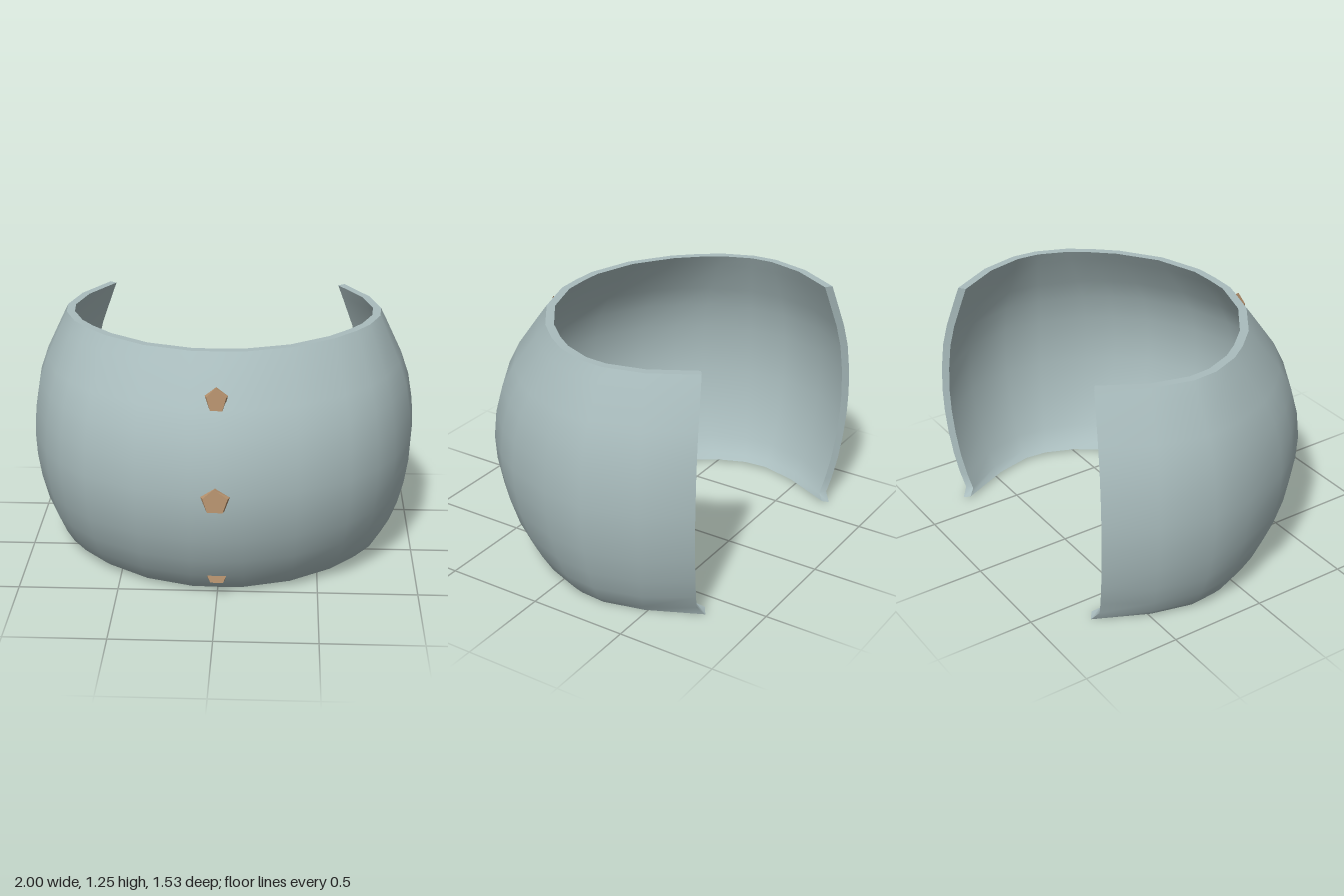
import * as THREE from 'three';
import { toCreasedNormals } from 'three/addons/utils/BufferGeometryUtils.js';

// Plan of one half, front centre to back end: widest x, z, then rim x, z
const PLAN = [
  [0, 0.72, 0, 0.44], [0.13, 0.71, 0.13, 0.435], [0.39, 0.64, 0.36, 0.36],
  [0.65, 0.49, 0.56, 0.22], [0.79, 0.34, 0.67, 0.1], [0.88, 0.2, 0.74, 0],
  [0.975, -0.06, 0.8, -0.15], [1, -0.28, 0.81, -0.28], [0.93, -0.55, 0.76, -0.48],
  [0.775, -0.763, 0.635, -0.7],
];
// Height and fullness of each row (0 = rim plan, 1 = widest plan)
const ROWS = [
  [0.008, 0.06], [0.05, 0.26], [0.13, 0.48], [0.24, 0.7], [0.37, 0.87], [0.5, 0.97],
  [0.62, 1], [0.76, 0.95], [0.9, 0.82], [1.02, 0.6], [1.19, 0.17], [1.255, 0],
];
const THICKNESS = 0.042;

// Open barrel-shaped cuff: outer wall, inner wall, rims and end caps
function cuffGeometry() {
  const mirrored = PLAN.slice(1).reverse().map(([a, b, c, d]) => [-a, b, -c, d]);
  const plan = [...mirrored, ...PLAN];
  const n = plan.length, r = ROWS.length, loop = 2 * r;
  const positions = [], index = [];

  for (let j = 0; j < loop; j++) {
    const inner = j >= r;
    const row = inner ? loop - 1 - j : j;
    const [y, f] = ROWS[row];
    for (let i = 0; i < n; i++) {
      const p = plan[i], a = plan[Math.max(i - 1, 0)], b = plan[Math.min(i + 1, n - 1)];
      const tx = b[0] - a[0], tz = b[1] - a[1], len = Math.hypot(tx, tz);
      const off = inner ? THICKNESS : 0;
      let x = THREE.MathUtils.lerp(p[2], p[0], f) + (tz / len) * off;
      let z = THREE.MathUtils.lerp(p[3], p[1], f) - (tx / len) * off;
      // small foot at the lower back corners
      if (row === 0 && (i === 0 || i === n - 1)) z -= 0.045;
      positions.push(x, y + (inner && row === 0 ? 0.015 : 0), z);
    }
  }
  const id = (i, j) => (j % loop) * n + i;
  const quad = (a, b, c, d) => index.push(a, b, c, a, c, d);
  for (let j = 0; j < loop; j++)
    for (let i = 0; i < n - 1; i++)
      quad(id(i, j), id(i + 1, j), id(i + 1, j + 1), id(i, j + 1));
  for (let j = 0; j < r - 1; j++) {
    const k = loop - 1 - j;
    quad(id(n - 1, j), id(n - 1, k), id(n - 1, k - 1), id(n - 1, j + 1));
    quad(id(0, j), id(0, j + 1), id(0, k - 1), id(0, k));
  }
  const g = new THREE.BufferGeometry();
  g.setAttribute('position', new THREE.Float32BufferAttribute(positions, 3));
  g.setIndex(index);
  return toCreasedNormals(g, 0.75);
}

// Five-sided stud whose face slopes back towards its top point
function studGeometry(width, height) {
  const g = new THREE.CylinderGeometry(0.85, 1, 1, 5);
  g.rotateX(Math.PI / 2).rotateZ(Math.PI);
  const pos = g.attributes.position;
  for (let i = 0; i < pos.count; i++) {
    const y = pos.getY(i), front = pos.getZ(i) > 0;
    pos.setXYZ(i, pos.getX(i) * width / 1.9, y * height / 1.81,
      front ? 0.016 - 0.014 * y : -0.006 + 0.008 * y);
  }
  const flat = g.toNonIndexed();
  flat.computeVertexNormals();
  return flat;
}

export function createModel() {
  const model = new THREE.Group();
  const shell = new THREE.MeshStandardMaterial({ color: 0xa9bcbd });
  shell.name = 'paleGreyGreen';
  const tan = new THREE.MeshStandardMaterial({ color: 0xb08d6a });
  tan.name = 'tan';

  const cuff = new THREE.Mesh(cuffGeometry(), shell);
  cuff.name = 'cuff';
  model.add(cuff);

  // Row of studs down the front: y, z, width, height
  [['upperStud', 1.065, 0.588, 0.11, 0.12], ['middleStud', 0.61, 0.738, 0.14, 0.125],
    ['lowerStud', 0.13, 0.558, 0.12, 0.085]].forEach(([name, y, z, w, h]) => {
    const stud = new THREE.Mesh(studGeometry(w, h), tan);
    stud.name = name;
    stud.position.set(0, y, z);
    model.add(stud);
  });
  return model;
}
